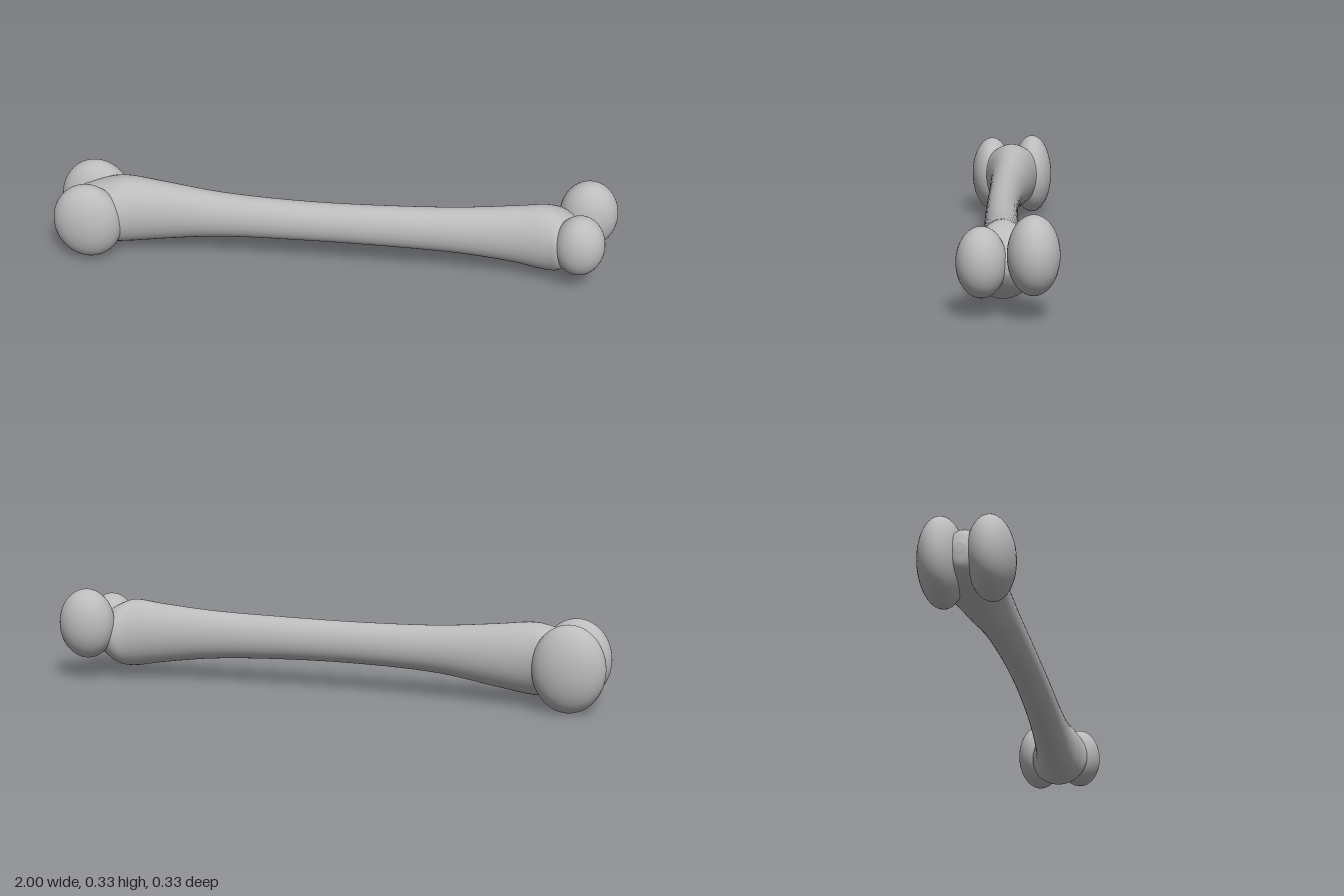
import * as THREE from 'three';

// Shaft stations: x, y bottom, y top, z back, z front
const STATIONS = [
  [-0.965, 0.14, 0.17, -0.012, 0.022],
  [-0.95, 0.09, 0.215, -0.035, 0.045],
  [-0.88, 0.05, 0.255, -0.075, 0.09],
  [-0.8, 0.04, 0.28, -0.105, 0.12],
  [-0.74, 0.038, 0.292, -0.088, 0.103],
  [-0.6, 0.058, 0.278, -0.068, 0.089],
  [-0.4, 0.087, 0.258, -0.042, 0.085],
  [-0.1, 0.099, 0.249, -0.026, 0.087],
  [0.2, 0.096, 0.252, -0.028, 0.087],
  [0.45, 0.083, 0.26, -0.04, 0.085],
  [0.65, 0.057, 0.277, -0.058, 0.09],
  [0.75, 0.04, 0.286, -0.075, 0.108],
  [0.8, 0.046, 0.27, -0.095, 0.122],
  [0.855, 0.085, 0.235, -0.07, 0.085],
  [0.895, 0.14, 0.195, -0.025, 0.025],
  [0.9, 0.165, 0.168, -0.002, 0.002],
];

// Smooth elliptical loft through the stations, closed at both ends
function loft(stations, rings, sides) {
  const low = new THREE.CatmullRomCurve3(stations.map(s => new THREE.Vector3(s[0], s[1], s[3])));
  const high = new THREE.CatmullRomCurve3(stations.map(s => new THREE.Vector3(s[0], s[2], s[4])));
  const positions = [], index = [];
  for (let i = 0; i <= rings; i++) {
    const a = low.getPoint(i / rings), b = high.getPoint(i / rings);
    const c = a.clone().add(b).multiplyScalar(0.5);
    const r = b.clone().sub(a).multiplyScalar(0.5);
    for (let j = 0; j < sides; j++) {
      const t = j / sides * Math.PI * 2;
      positions.push(c.x, c.y + r.y * Math.cos(t), c.z + r.z * Math.sin(t));
      if (i === rings) continue;
      const p = i * sides + j, q = i * sides + (j + 1) % sides;
      index.push(p, q, p + sides, q, q + sides, p + sides);
    }
  }
  // End caps
  for (const [ring, flip] of [[0, true], [rings, false]]) {
    const o = ring * sides;
    for (let j = 1; j < sides - 1; j++) {
      if (flip) index.push(o, o + j + 1, o + j);
      else index.push(o, o + j, o + j + 1);
    }
  }
  const g = new THREE.BufferGeometry();
  g.setAttribute('position', new THREE.Float32BufferAttribute(positions, 3));
  g.setIndex(index);
  g.computeVertexNormals();
  return g;
}

export function createModel() {
  const bone = new THREE.MeshStandardMaterial({ color: 0xbcbcbc });
  bone.name = 'bone grey';
  const group = new THREE.Group();
  group.name = 'bone';

  const shaft = new THREE.Mesh(loft(STATIONS, 90, 40), bone);
  shaft.name = 'shaft';
  group.add(shaft);

  // Rounded knobs: name, centre, radii
  const knobs = [
    ['rightFrontKnob', [-0.872, 0.154, 0.087], [0.123, 0.143, 0.078]],
    ['rightBackKnob', [-0.872, 0.153, -0.072], [0.128, 0.153, 0.077]],
    ['leftFrontKnob', [0.868, 0.178, 0.08], [0.089, 0.113, 0.08]],
    ['leftBackKnob', [0.897, 0.207, -0.083], [0.103, 0.127, 0.083]],
  ];
  for (const [name, centre, radii] of knobs) {
    const knob = new THREE.Mesh(new THREE.SphereGeometry(1, 40, 28), bone);
    knob.name = name;
    knob.position.set(...centre);
    knob.scale.set(...radii);
    group.add(knob);
  }
  return group;
}
